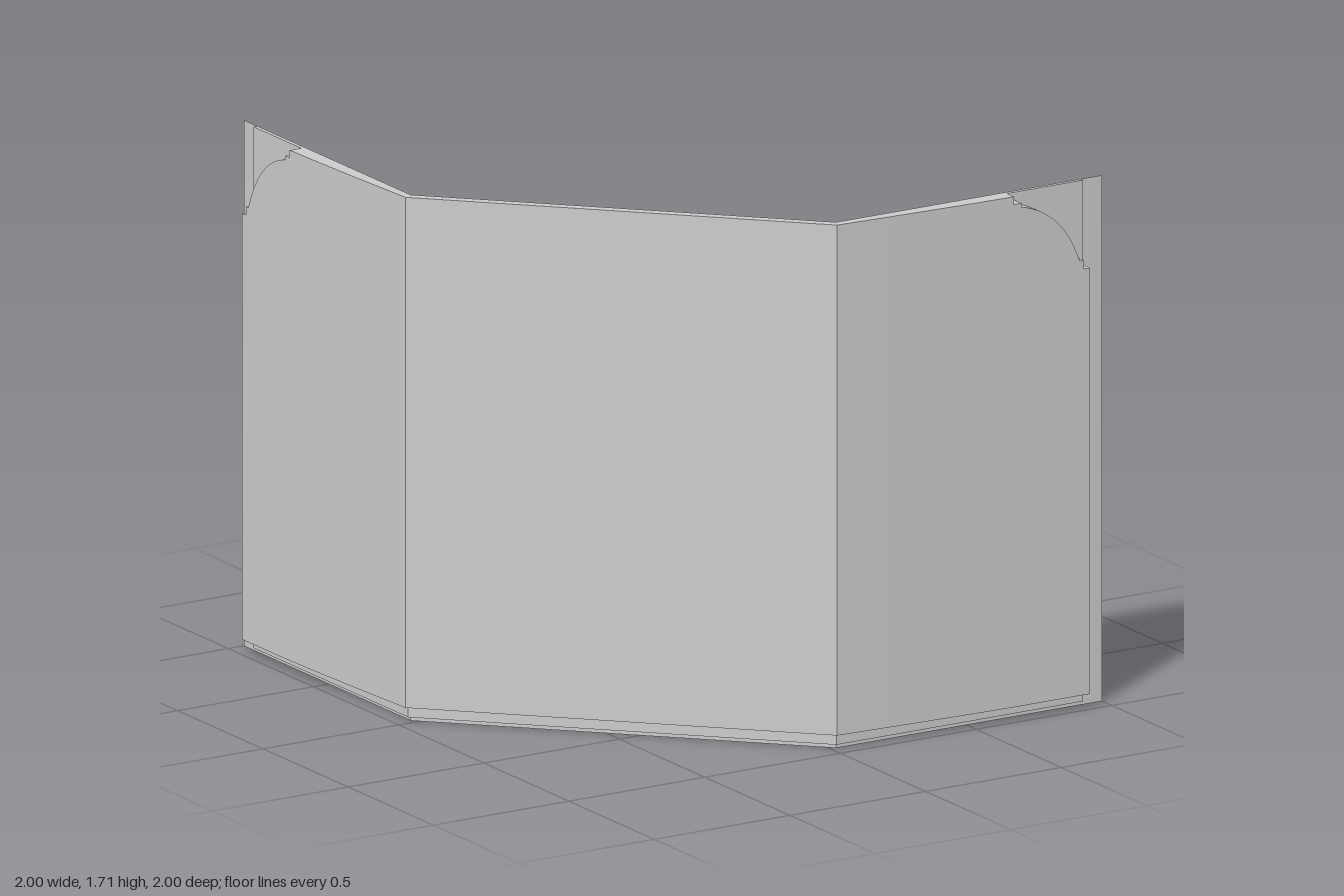
import * as THREE from 'three';

const H = 1.71, END = 0.92, INNER = 0.943, MID = 0.957;
const STEP1 = 0.015, STEP2 = 0.05;
const material = new THREE.MeshStandardMaterial({ color: 0xcccccc, side: THREE.DoubleSide });

// Flat-shaded strip between two polylines with equal point counts
function ribbon(name, a, b) {
  const pos = [];
  const tri = (p, q, r) => {
    const n = q.clone().sub(p).cross(r.clone().sub(p));
    if (n.length() > 1e-9) for (const v of [p, q, r]) pos.push(v.x, v.y, v.z);
  };
  for (let i = 0; i < a.length - 1; i++) {
    tri(a[i], a[i + 1], b[i]);
    tri(a[i + 1], b[i + 1], b[i]);
  }
  const g = new THREE.BufferGeometry();
  g.setAttribute('position', new THREE.Float32BufferAttribute(pos, 3));
  g.computeVertexNormals();
  const mesh = new THREE.Mesh(g, material);
  mesh.name = name;
  return mesh;
}

const V = (x, y, z) => new THREE.Vector3(x, y, z);
// The model is symmetric about the vertical plane x = -z
const mirror = (p) => V(-p.z, p.y, -p.x);
// Gentle taper: the wing thickens toward its free end
const outerZ = (x) => 1 - 0.028 * Math.pow(1 - Math.min(1, x / 0.66), 1.3);

export function createModel() {
  const group = new THREE.Group();
  group.name = 'foldedPanelShell';

  // Outline of the corner pocket: small steps at both ends of an arc
  const arc = new THREE.QuadraticBezierCurve(
    new THREE.Vector2(0.667, 1.672), new THREE.Vector2(0.82, 1.64), new THREE.Vector2(0.882, 1.463));
  const cut = [
    [0.64, H], [0.64, 1.685], [0.667, 1.685],
    ...arc.getPoints(14).map((p) => [p.x, p.y]),
    [0.897, 1.463], [0.897, 1.435], [END, 1.435],
  ];

  // Wing columns [x, top height] from the fold to the free end
  const cols = [];
  for (let i = 0; i < 10; i++) cols.push([0.005 + 0.0635 * i, H]);
  cols.push(...cut);

  const wingOuter = (yOf) => cols.map(([x, t]) => V(x, yOf(t), outerZ(x)));
  const wingFlat = (x0, y, z) => cols.map(([x], i) => V(i ? Math.max(x, x0) : x0, y, z));
  // Full run: mirrored wing, diagonal, wing
  const full = (w) => [...w.map(mirror).reverse(), ...w];
  const add = (name, a, b) => group.add(ribbon(name, full(a), full(b)));
  const addBoth = (name, a, b) => group.add(
    ribbon(name + 'Left', a, b), ribbon(name + 'Right', b.map(mirror), a.map(mirror)));

  const mid = (y) => wingFlat(0.0125, y, MID);
  const inner = (y) => wingFlat(0.02, y, INNER);

  // Main skin and stepped bottom edge
  add('outerPanel', wingOuter(() => STEP2), wingOuter((t) => t));
  add('upperLedge', mid(STEP2), wingOuter(() => STEP2));
  add('bottomStep', mid(STEP1), mid(STEP2));
  add('lowerLedge', inner(STEP1), mid(STEP1));
  add('bottomSkirt', inner(0), inner(STEP1));

  // Top edge, narrowed where the pockets cut in
  const rim = [...cols.slice(0, 11).map(([x]) => V(x, H, outerZ(x))),
    V(0.64, H, MID), V(END, H, MID)];
  const rimInner = rim.map((p, i) => V(i ? Math.max(p.x, 0.02) : 0.02, H, INNER));
  add('topEdge', rim, rimInner);

  // Corner pockets
  addBoth('pocketWall', cut.map(([x, y]) => V(x, y, outerZ(x))), cut.map(([x, y]) => V(x, y, MID)));
  addBoth('pocketFloor', cut.map(([x, y]) => V(x, y, MID)), cut.map(([x]) => V(x, H, MID)));

  // Stepped end walls
  const ends = [[STEP1, MID], [STEP2, MID], [STEP2, 1], [1.435, 1], [1.435, MID], [H, MID]];
  addBoth('endWall', ends.map(([y]) => V(END, y, INNER)), ends.map(([y, z]) => V(END, y, z)));

  // Thin mounting flanges beyond the end walls
  addBoth('sideFlange', [V(END, 0, INNER), V(1, 0, INNER)], [V(END, H, INNER), V(1, H, INNER)]);

  return group;
}
